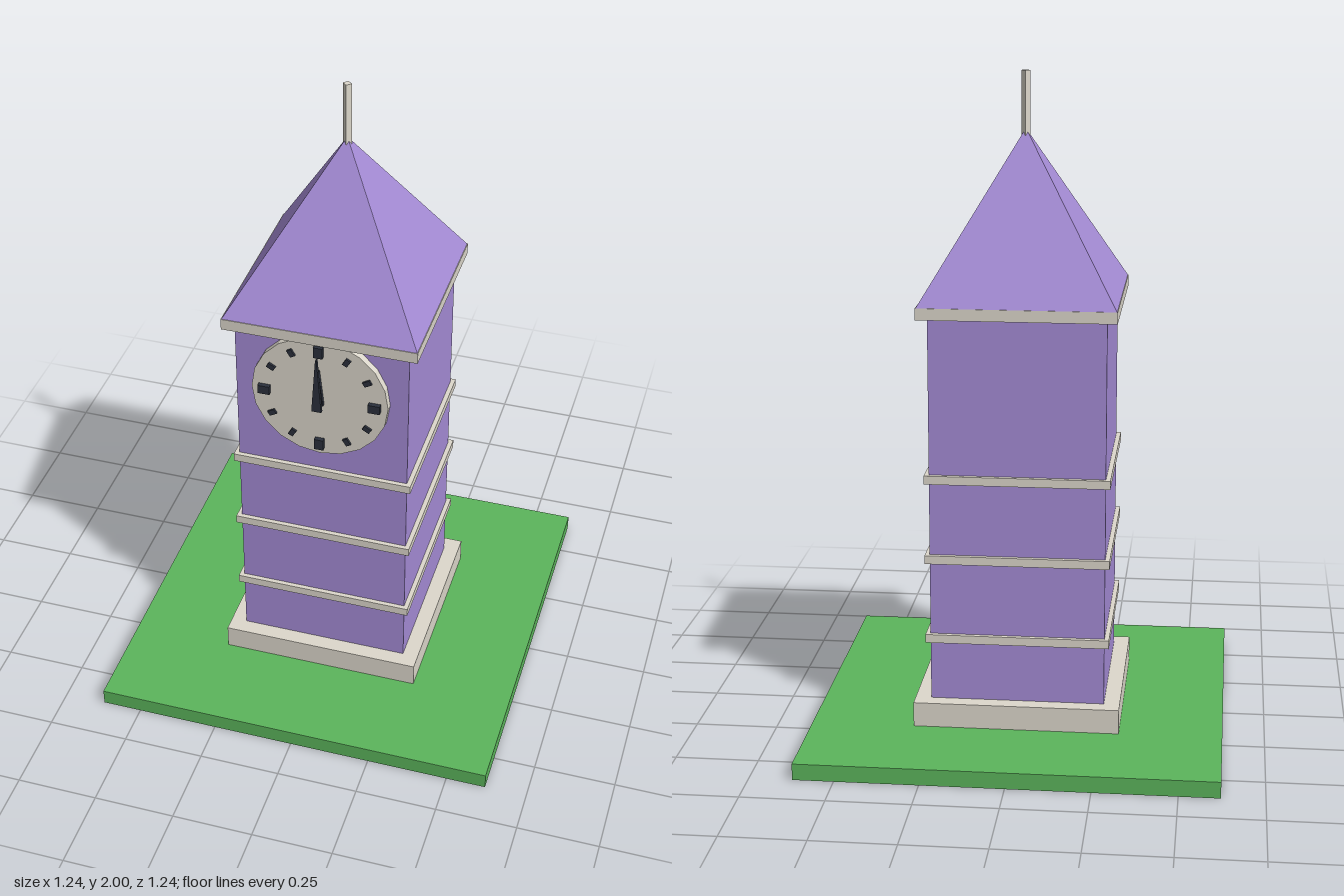
import * as THREE from 'three';

const mat = (color) => new THREE.MeshStandardMaterial({ color, flatShading: true });

export function createModel() {
  const model = new THREE.Group();
  const grass = mat(0x5cb55c), stone = mat(0xddd8cc), wall = mat(0xa58cd6), dark = mat(0x2b303c);

  const add = (name, geometry, material, parent = model) => {
    const mesh = new THREE.Mesh(geometry, material);
    mesh.name = name;
    parent.add(mesh);
    return mesh;
  };
  // Square block standing between two heights
  const block = (name, half, y0, y1, material) => {
    add(name, new THREE.BoxGeometry(half * 2, y1 - y0, half * 2), material).position.y = (y0 + y1) / 2;
  };

  // Ground, plinth, shaft and eave
  block('ground', 0.622, 0, 0.05, grass);
  block('plinth', 0.311, 0.05, 0.125, stone);
  block('towerShaft', 0.263, 0.125, 1.305, wall);
  [0.32, 0.57, 0.818].forEach((y, i) => block('band' + (i + 1), 0.277, y - 0.013, y + 0.013, stone));
  block('eave', 0.294, 1.305, 1.34, stone);

  // Pyramid roof and four-sided spire
  const roof = add('roof', new THREE.ConeGeometry(0.292 * Math.SQRT2, 0.49, 4).rotateY(Math.PI / 4), wall);
  roof.position.y = 1.585;
  add('spire', new THREE.CylinderGeometry(0.013, 0.013, 0.2, 4), stone).position.y = 1.9;

  // Clock, with its origin at the middle of the dial front
  const clock = new THREE.Group();
  clock.name = 'clock';
  clock.position.set(0, 1.115, 0.286);
  model.add(clock);

  const dial = new THREE.CylinderGeometry(0.208, 0.208, 0.03, 20).rotateX(Math.PI / 2);
  add('dial', dial, stone, clock).position.z = -0.015;

  // Hour marks, larger at the quarters
  for (let i = 0; i < 12; i++) {
    const big = i % 3 === 0;
    const a = i * Math.PI / 6;
    const depth = big ? 0.014 : 0.007;
    const size = big ? [0.028, 0.036] : [0.016, 0.024];
    const mark = add('hourMark' + (i + 1), new THREE.BoxGeometry(...size, depth), dark, clock);
    mark.position.set(Math.sin(a) * 0.168, Math.cos(a) * 0.168, depth / 2);
    mark.rotation.z = -a;
  }

  // Tapered hands, both pointing up
  const hand = (name, base, tip, width, z) => {
    const shape = new THREE.Shape([
      new THREE.Vector2(-width / 2, base), new THREE.Vector2(width / 2, base),
      new THREE.Vector2(0.002, tip), new THREE.Vector2(-0.002, tip),
    ]);
    const geometry = new THREE.ExtrudeGeometry(shape, { depth: 0.012, bevelEnabled: false });
    add(name, geometry, dark, clock).position.z = z;
  };
  hand('hourHand', -0.02, 0.102, 0.03, 0.002);
  hand('minuteHand', -0.03, 0.155, 0.03, 0.021);
  const pin = new THREE.CylinderGeometry(0.007, 0.007, 0.03, 8).rotateX(Math.PI / 2);
  add('handPin', pin, dark, clock).position.z = 0.015;

  return model;
}
